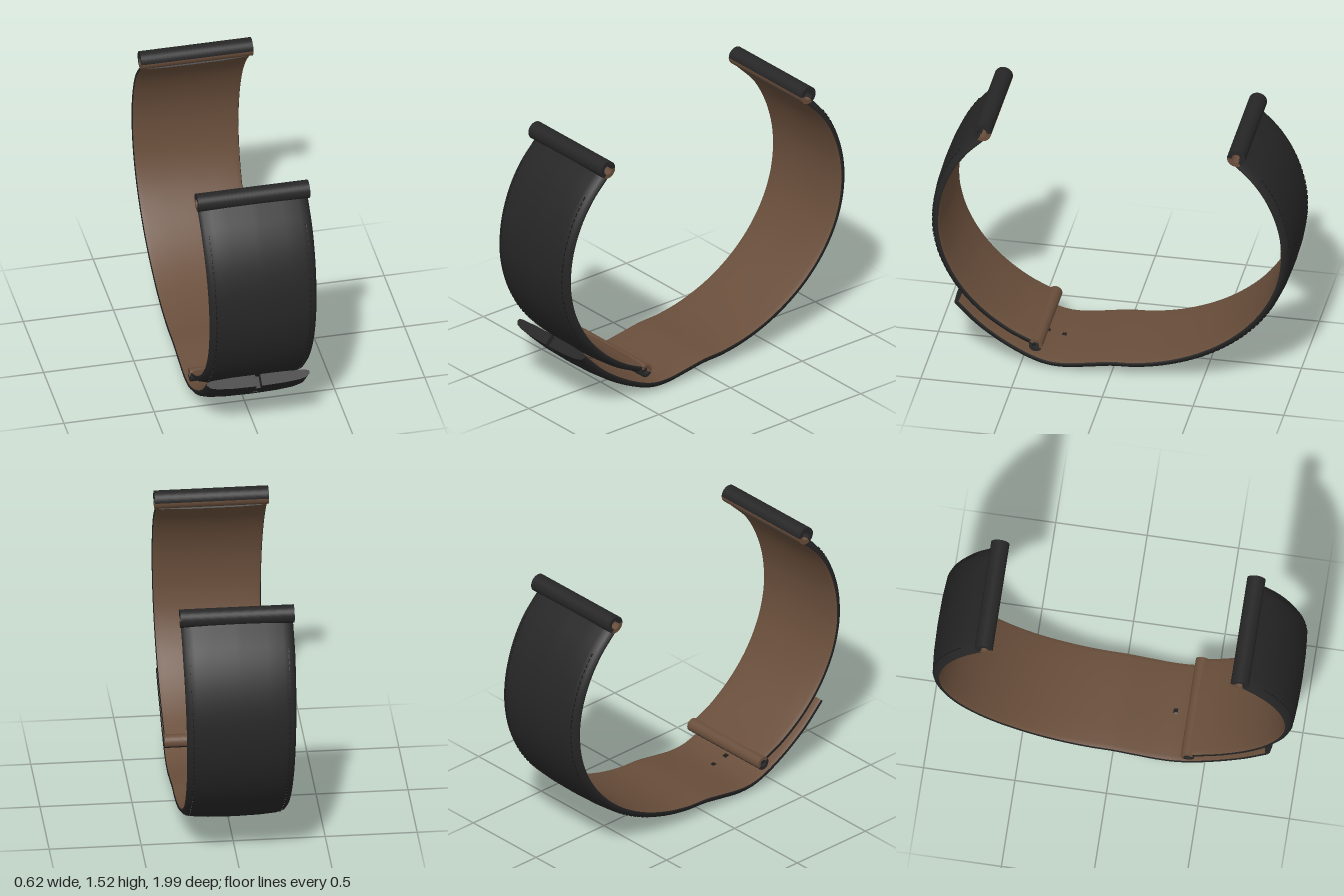
import * as THREE from 'three';
import { mergeGeometries } from 'three/addons/utils/BufferGeometryUtils.js';

const black = new THREE.MeshStandardMaterial({ color: 0x262626, side: THREE.DoubleSide });
black.name = 'black leather';
const brown = new THREE.MeshStandardMaterial({ color: 0x694e3b, side: THREE.DoubleSide });
brown.name = 'brown lining';
const thread = new THREE.MeshStandardMaterial({ color: 0x1a1a1a });
thread.name = 'black thread';

const HALF = 0.0325;  // half the strap thickness
const SLOT = 0.05;    // half hole width, as a share of the half width

// Cross-section: [share of half width, offset outwards]
const outerHalf = [[SLOT, HALF], [0.5, 0.0295], [0.8, 0.0225], [0.94, 0.012], [1, -0.008], [0.985, -0.02]];
const innerHalf = [[0.985, -0.02], [0.9, -0.027], [0.5, -0.032], [SLOT, -HALF]];
const flip = list => list.map(([a, n]) => [-a, n]).reverse();
const outer = [...flip(outerHalf), ...outerHalf];
const inner = [...innerHalf, ...flip(innerHalf)];

// Centre line around the wrist; negative angles are above the widest point
function arc(deg, side) {
  const t = THREE.MathUtils.degToRad(deg), c = Math.cos(t), s = Math.sin(t);
  return deg < 0
    ? new THREE.Vector3(0, 0.88 - 0.739 * s, side * (0.226 + 0.739 * c))
    : new THREE.Vector3(0, 0.88 - 0.805 * s, side * 0.965 * c);
}

function geometryFrom(positions, index) {
  const g = new THREE.BufferGeometry();
  g.setAttribute('position', new THREE.Float32BufferAttribute(positions, 3));
  g.setIndex(index);
  g.computeVertexNormals();
  return g;
}

function fan(points) {
  const index = [];
  for (let i = 1; i < points.length - 1; i++) index.push(0, i, i + 1);
  return geometryFrom(points.flatMap(p => p.toArray()), index);
}

function addMesh(group, name, geometry, material) {
  const mesh = new THREE.Mesh(geometry, material);
  mesh.name = name;
  group.add(mesh);
  return mesh;
}

// One leather strap swept along a path; holes are [start, end] lengths
function makeStrap(name, points, holes, stitchFrom, stitchTo) {
  const group = new THREE.Group();
  group.name = name;
  const curve = new THREE.CatmullRomCurve3(points, false, 'centripetal');
  curve.arcLengthDivisions = 600;
  const length = curve.getLength();

  const frame = s => {
    const u = THREE.MathUtils.clamp(s / length, 0, 1);
    const p = curve.getPointAt(u), t = curve.getTangentAt(u);
    const normal = new THREE.Vector3(0, -t.z, t.y);
    const width = 0.283 + 0.022 * THREE.MathUtils.clamp((p.y - 0.2) / 1.1, 0, 1);
    return { p, t, normal, width };
  };
  const at = (s, [a, n]) => {
    const f = frame(s);
    return f.p.addScaledVector(f.normal, n).setX(a * f.width);
  };

  const rows = [];
  for (let i = 0; i <= 100; i++) rows.push(length * i / 100);
  holes.forEach(h => rows.push(...h));
  const sorted = [...new Set(rows)].sort((a, b) => a - b);

  const skin = profile => {
    const pos = [], index = [], m = profile.length;
    sorted.forEach(s => profile.forEach(c => pos.push(...at(s, c).toArray())));
    for (let r = 0; r < sorted.length - 1; r++) {
      const mid = (sorted[r] + sorted[r + 1]) / 2;
      const open = holes.some(([a, b]) => mid > a && mid < b);
      for (let c = 0; c < m - 1; c++) {
        if (open && c === m / 2 - 1) continue;
        const i = r * m + c;
        index.push(i, i + 1, i + m + 1, i, i + m + 1, i + m);
      }
    }
    return geometryFrom(pos, index);
  };
  addMesh(group, 'outerLeather', skin(outer), black);
  addMesh(group, 'innerLining', skin(inner), brown);

  // Cut ends, left open where a slot reaches the tip
  const half = [...outerHalf, ...innerHalf.slice(1)];
  const ends = [fan([...outer, ...inner].map(c => at(0, c)))];
  const tips = holes.length ? [half, flip(half)] : [[...outer, ...inner]];
  tips.forEach(loop => ends.push(fan(loop.map(c => at(length, c)))));
  addMesh(group, 'strapEnds', mergeGeometries(ends), black);

  // Walls inside the adjustment holes
  const walls = [];
  holes.forEach(([s0, s1]) => {
    const corners = [[s0, -SLOT], [s0, SLOT], [s1, SLOT], [s1, -SLOT]];
    corners.forEach(([s, a], i) => {
      if (i === 2 && s1 === length) return;
      const [sn, an] = corners[(i + 1) % 4];
      walls.push(fan([at(s, [a, HALF]), at(sn, [an, HALF]), at(sn, [an, -HALF]), at(s, [a, -HALF])]));
    });
  });
  if (walls.length) addMesh(group, 'holeWalls', mergeGeometries(walls), black);

  // Stitching near both long edges
  const stitches = [];
  for (let s = stitchFrom * length; s < stitchTo * length; s += 0.032) {
    const f = frame(s);
    for (const side of [-1, 1]) {
      const basis = new THREE.Matrix4().makeBasis(
        new THREE.Vector3(1, 0, 0), f.normal, f.t.clone().negate());
      basis.setPosition(at(s, [side * 0.88, 0.017]));
      stitches.push(new THREE.BoxGeometry(0.005, 0.006, 0.02).applyMatrix4(basis));
    }
  }
  addMesh(group, 'stitching', mergeGeometries(stitches), thread);
  return group;
}

// Hollow pin loop, lined in brown between two angles
function makeLoop(name, y, z, radius, bore, halfWidth, from, to) {
  const group = new THREE.Group();
  group.name = name;
  const part = (partName, a, b, material) => {
    const a0 = THREE.MathUtils.degToRad(a), a1 = THREE.MathUtils.degToRad(b);
    const shape = new THREE.Shape();
    shape.absarc(0, 0, radius, a0, a1, false);
    shape.absarc(0, 0, bore, a1, a0, true);
    const g = new THREE.ExtrudeGeometry(shape, {
      depth: 2 * halfWidth, bevelEnabled: false, curveSegments: 18 });
    g.translate(0, 0, -halfWidth).rotateY(Math.PI / 2);
    addMesh(group, partName, g, material);
  };
  part('loopLining', from, to, brown);
  part('loopLeather', to, from + 360, black);
  group.position.set(0, y, z);
  return group;
}

export function createModel() {
  const model = new THREE.Group();
  model.name = 'watchStrap';

  // Long strap: down the back, under the wrist and up to the free tip
  const longPath = [-50, -37, -25, -12, 0, 12, 24, 36, 48, 60, 72, 82].map(d => arc(d, -1));
  [[0, 0.075], [0.12, 0.056], [0.25, 0.038], [0.35, 0.043], [0.45, 0.075],
    [0.6, 0.155], [0.73, 0.25], [0.85, 0.37]].forEach(([z, y]) => longPath.push(new THREE.Vector3(0, y, z)));
  const probe = new THREE.CatmullRomCurve3(longPath, false, 'centripetal');
  probe.arcLengthDivisions = 600;
  const total = probe.getLength();
  const holes = [[total - 0.055, total]];
  for (let i = 0; i < 6; i++) {
    const s = total - 0.15 - i * 0.1;
    holes.push([s - 0.013, s + 0.013]);
  }
  model.add(makeStrap('longStrap', longPath, holes, 0.06, 0.6));

  // Short strap: from the buckle loop up the front
  const shortPath = [64.8, 54, 42, 30, 18, 8, 0, -12, -25, -37, -50].map(d => arc(d, 1));
  model.add(makeStrap('shortStrap', shortPath, [], 0.22, 0.9));

  // Pin loops
  model.add(makeLoop('frontLoop', 1.478, 0.7, 0.05, 0.026, 0.31, -120, 0));
  model.add(makeLoop('backLoop', 1.478, -0.7, 0.05, 0.026, 0.31, 180, 300));
  model.add(makeLoop('buckleLoop', 0.155, 0.41, 0.037, 0.02, 0.284, -30, 150));
  return model;
}
